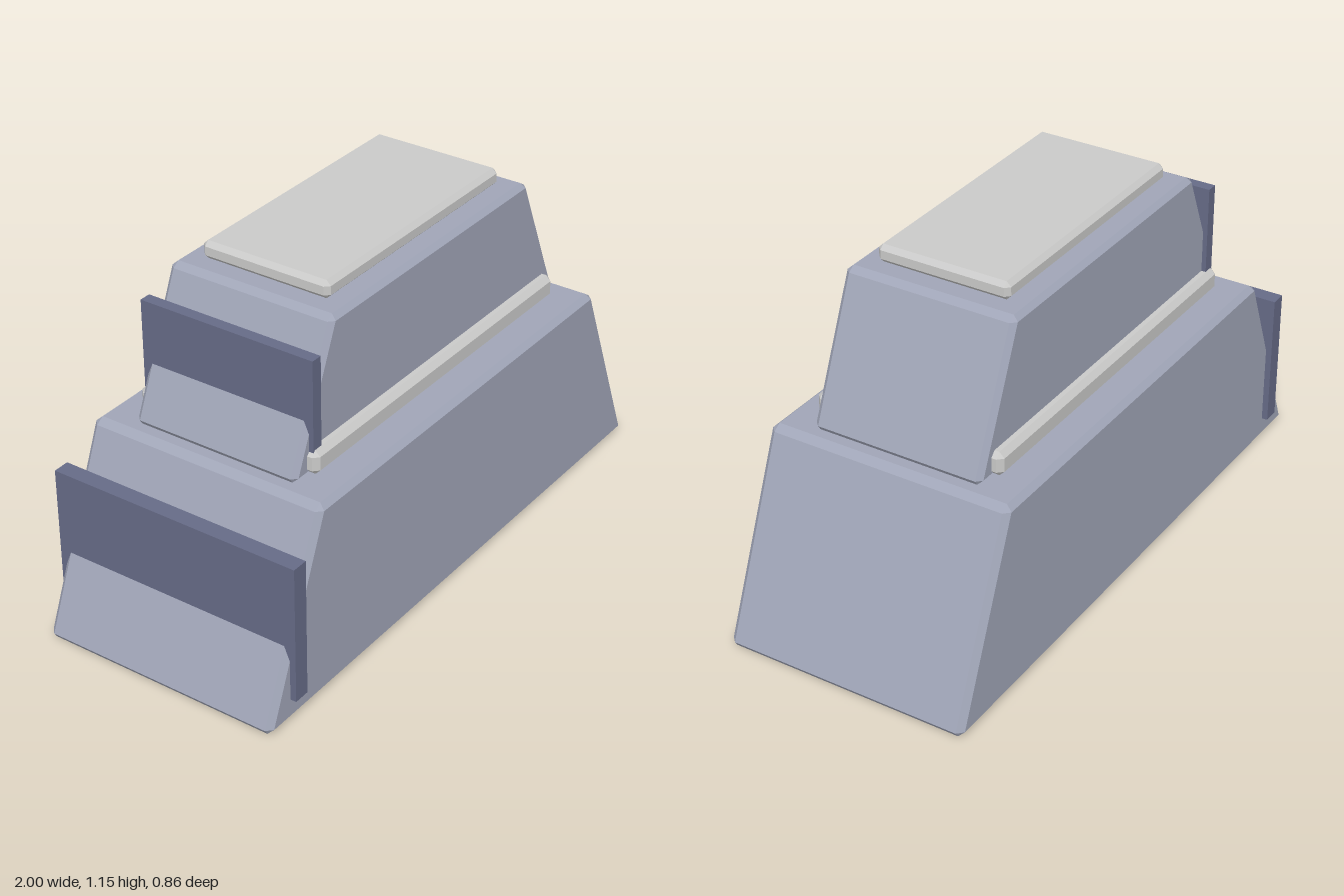
import * as THREE from 'three';
import { ConvexGeometry } from 'three/addons/geometries/ConvexGeometry.js';

// Block with chamfered edges: half widths at bottom and top, height range, half depth, chamfer
function chamferedBlock(bottomHalf, topHalf, y0, y1, halfDepth, c) {
  const points = [];
  for (const sx of [-1, 1]) for (const sz of [-1, 1]) for (const top of [false, true]) {
    const corner = new THREE.Vector3(sx * (top ? topHalf : bottomHalf), top ? y1 : y0, sz * halfDepth);
    const other = new THREE.Vector3(sx * (top ? bottomHalf : topHalf), top ? y0 : y1, sz * halfDepth);
    const alongX = new THREE.Vector3(-sx * c, 0, 0);
    const alongZ = new THREE.Vector3(0, 0, -sz * c);
    const alongSide = other.sub(corner).setLength(c);
    // one point on each of the three faces meeting at the corner
    points.push(
      corner.clone().add(alongX).add(alongZ),
      corner.clone().add(alongX).add(alongSide),
      corner.clone().add(alongZ).add(alongSide),
    );
  }
  return new ConvexGeometry(points);
}

// Sharp-edged upright plate
function plate(x0, x1, y0, y1, halfDepth) {
  return new THREE.BoxGeometry(x1 - x0, y1 - y0, halfDepth * 2)
    .translate((x0 + x1) / 2, (y0 + y1) / 2, 0);
}

export function createModel() {
  const model = new THREE.Group();
  model.name = 'steppedBlock';

  const material = (name, color) => {
    const m = new THREE.MeshStandardMaterial({ color, flatShading: true });
    m.name = name;
    return m;
  };
  const body = material('blueGrey', 0xa0a5b7);
  const trim = material('lightGrey', 0xcacac9);
  const dark = material('darkBlueGrey', 0x666b87);

  const add = (name, geometry, mat) => {
    const mesh = new THREE.Mesh(geometry, mat);
    mesh.name = name;
    model.add(mesh);
  };

  // Two tapered tiers
  add('lowerTier', chamferedBlock(1.005, 0.742, 0, 0.64, 0.41, 0.019), body);
  add('upperTier', chamferedBlock(0.705, 0.51, 0.64, 1.092, 0.287, 0.017), body);

  // Pale band around the upper tier's foot, and the cap
  add('middleBand', chamferedBlock(0.64, 0.64, 0.647, 0.725, 0.32, 0.017), trim);
  add('topCap', chamferedBlock(0.447, 0.447, 1.092, 1.15, 0.223, 0.015), trim);

  // Dark plates across the sloping end
  add('lowerPlate', plate(-0.9, -0.846, 0.075, 0.53, 0.43), dark);
  add('upperPlate', plate(-0.63, -0.592, 0.69, 1.015, 0.302), dark);

  return model;
}
